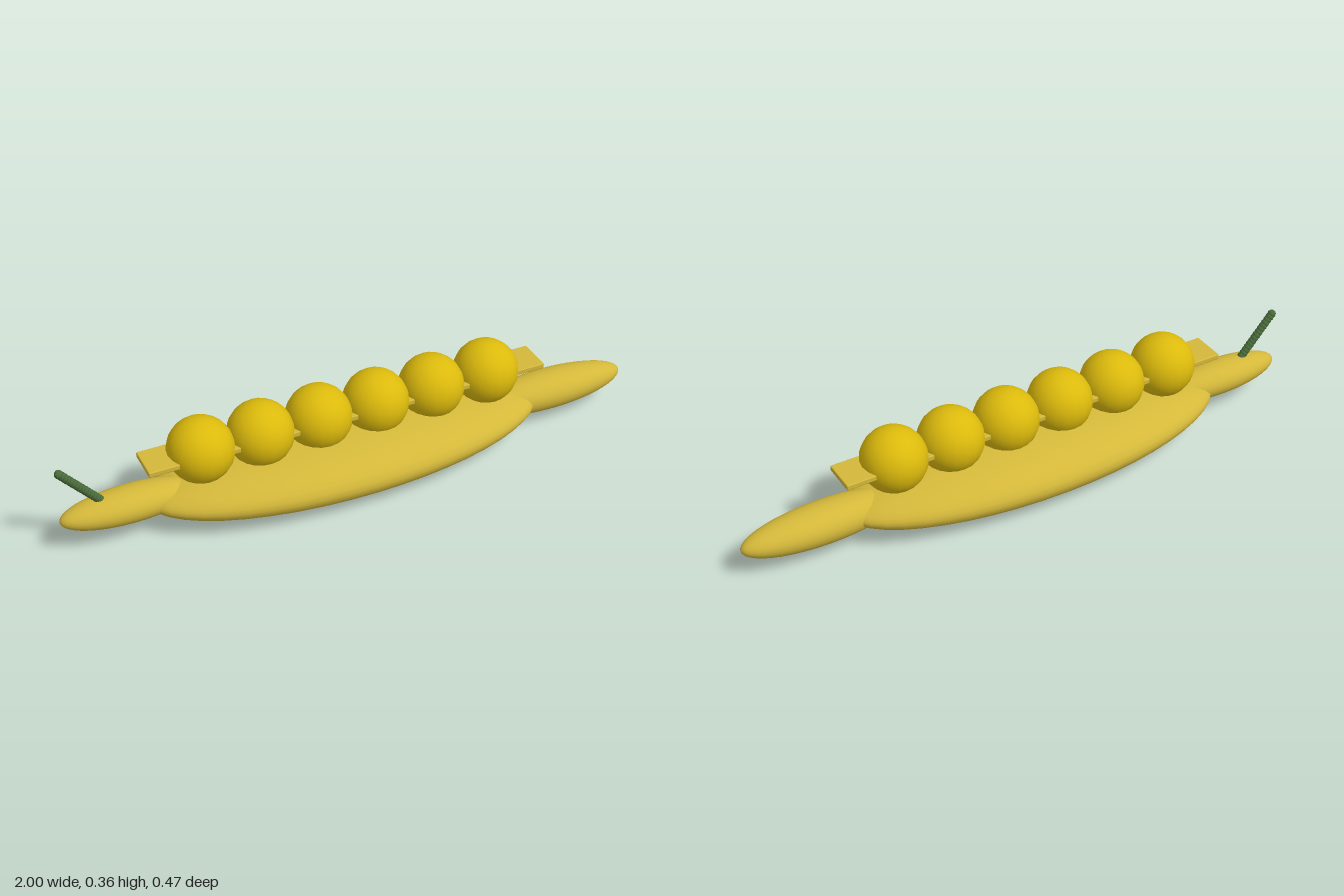
import * as THREE from 'three';
import { RoundedBoxGeometry } from 'three/addons/geometries/RoundedBoxGeometry.js';

export function createModel() {
  const model = new THREE.Group();
  model.name = 'peaPod';

  const material = (name, color) => {
    const m = new THREE.MeshStandardMaterial({ color });
    m.name = name;
    return m;
  };
  const podYellow = material('pod yellow', 0xd4b83a);
  const peaGold = material('pea gold', 0xdcba0c);
  const stemGreen = material('stem green', 0x4a6b3a);

  const add = (name, geometry, mat, x, y, z, parent = model) => {
    const mesh = new THREE.Mesh(geometry, mat);
    mesh.name = name;
    mesh.position.set(x, y, z);
    parent.add(mesh);
    return mesh;
  };

  // Ellipsoid with its poles along x
  const ellipsoid = (rx, ry, rz) =>
    new THREE.SphereGeometry(1, 32, 24).rotateZ(Math.PI / 2).scale(rx, ry, rz);

  // Flattened shell and its two tapered ends
  add('podShell', ellipsoid(0.69, 0.102, 0.237), podYellow, -0.033, 0.107, 0);
  add('rightTip', ellipsoid(0.23, 0.057, 0.07), podYellow, -0.77, 0.123, 0);
  add('leftTip', ellipsoid(0.28, 0.065, 0.077), podYellow, 0.72, 0.109, 0);

  // Flat strip threaded through the peas
  add('strip', new RoundedBoxGeometry(1.385, 0.019, 0.12, 2, 0.004), podYellow, -0.03, 0.255, 0);

  // Row of peas
  const peas = new THREE.Group();
  peas.name = 'peas';
  model.add(peas);
  const peaGeometry = new THREE.SphereGeometry(0.109, 20, 16);
  for (let i = 0; i < 6; i++) {
    add('pea' + (i + 1), peaGeometry, peaGold, -0.532 + i * 0.201, 0.256, 0, peas);
  }

  // Beaded stem leaning outwards
  const stem = new THREE.Group();
  stem.name = 'stem';
  model.add(stem);
  const beadGeometry = new THREE.SphereGeometry(0.0145, 12, 8);
  const base = new THREE.Vector3(-0.868, 0.172, 0);
  const tip = new THREE.Vector3(-0.984, 0.306, 0);
  for (let i = 0; i < 15; i++) {
    const p = base.clone().lerp(tip, i / 14);
    add('stemBead', beadGeometry, stemGreen, p.x, p.y, p.z, stem);
  }

  return model;
}
